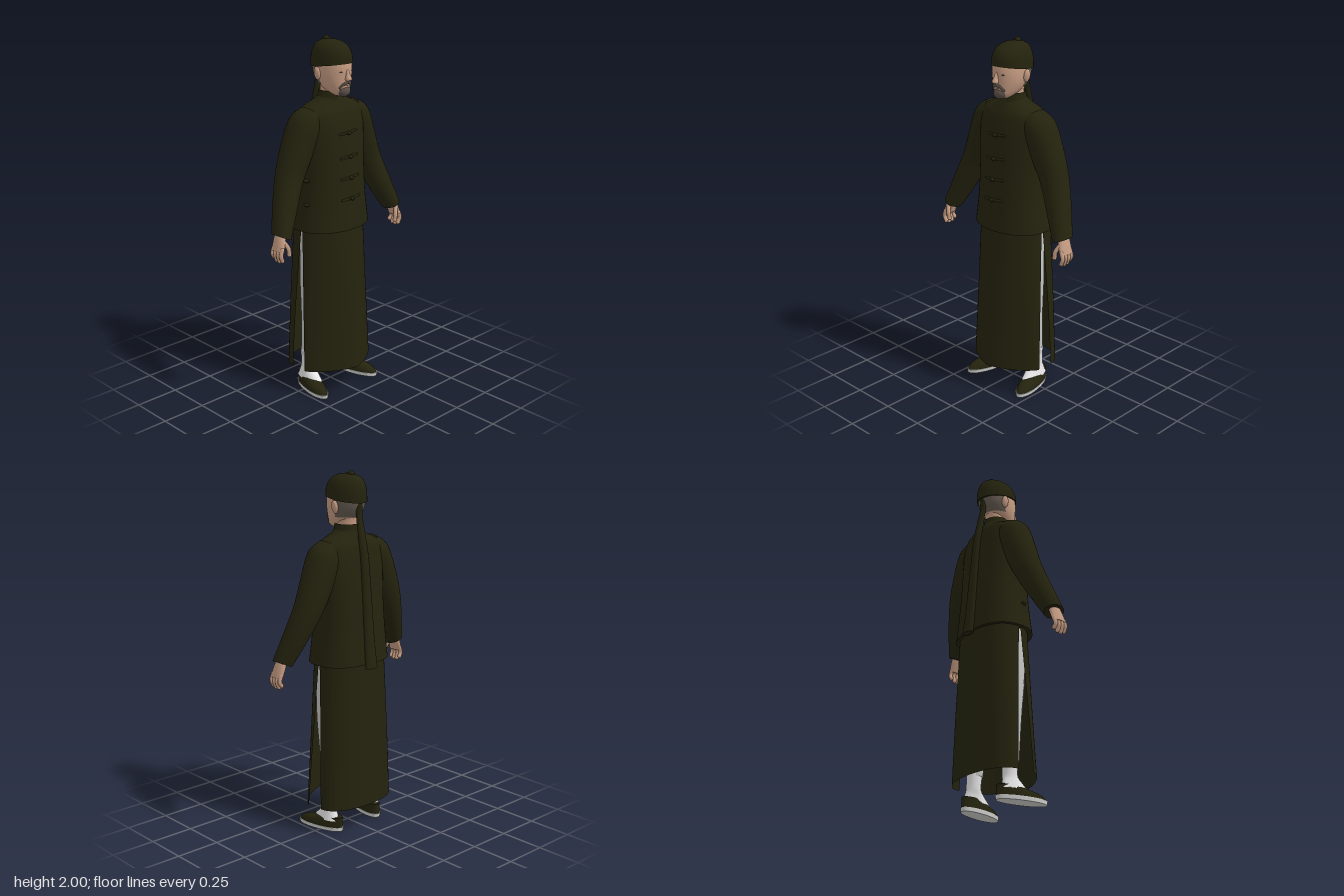
import * as THREE from 'three';

const mat = (name, color, side = THREE.FrontSide) => {
  const m = new THREE.MeshStandardMaterial({ color, side });
  m.name = name;
  return m;
};
const cloth = mat('dark olive cloth', 0x24230e, THREE.DoubleSide);
const skin = mat('skin', 0xc79d83);
const hairGrey = mat('grey hair', 0x655b52, THREE.DoubleSide);
const beardGrey = mat('beard', 0x5a4f48);
const sockWhite = mat('white sock', 0xeeeeee);
const trouserGrey = mat('pale trousers', 0xc4c4c4);
const soleGrey = mat('pale sole', 0xd2d2d0);

const spline = (p0, p1, p2, p3, t) => 0.5 * (2 * p1 + (p2 - p0) * t
  + (2 * p0 - 5 * p1 + 4 * p2 - p3) * t * t + (3 * p1 - p0 - 3 * p2 + p3) * t ** 3);

// Smooth skin over rings listed from top to bottom.
// Ring: [x, y, z, half width, half depth, tilt about z, front roundness, back roundness]
function loft(rings, { t0 = 0, t1 = Math.PI * 2, seg = 36, steps = 4 } = {}) {
  const full = rings.map(r => [...r, ...[0, 2, 2].slice(r.length - 5)]);
  const rows = [];
  for (let i = 0; i < full.length - 1; i++) {
    for (let k = 0; k < steps; k++) {
      const at = j => full[Math.min(Math.max(j, 0), full.length - 1)];
      rows.push(full[i].map((_, c) => spline(at(i - 1)[c], at(i)[c], at(i + 1)[c], at(i + 2)[c], k / steps)));
    }
  }
  rows.push(full[full.length - 1]);
  const closed = t1 - t0 > 6.28, n = closed ? seg : seg + 1;
  const pos = [], idx = [];
  const addRing = ([x, y, z, a, b, tilt, pf, pb]) => {
    for (let j = 0; j < n; j++) {
      const t = t0 + (t1 - t0) * j / seg, c = Math.cos(t), s = Math.sin(t);
      const e = 2 / (s >= 0 ? pf : pb);
      const u = a * Math.sign(c) * Math.abs(c) ** e, w = b * Math.sign(s) * Math.abs(s) ** e;
      pos.push(x + u * Math.cos(tilt), y + u * Math.sin(tilt), z + w);
    }
  };
  rows.forEach(addRing);
  for (let i = 0; i < rows.length - 1; i++) {
    for (let j = 0; j < seg; j++) {
      const a = i * n + j, b = i * n + (j + 1) % n;
      idx.push(a, b, a + n, b, b + n, a + n);
    }
  }
  if (closed) {
    for (const [row, top] of [[rows[0], true], [rows[rows.length - 1], false]]) {
      const start = pos.length / 3;
      addRing(row);
      pos.push(row[0], row[1], row[2]);
      for (let j = 0; j < n; j++) {
        const a = start + j, b = start + (j + 1) % n;
        idx.push(start + n, top ? b : a, top ? a : b);
      }
    }
  }
  const g = new THREE.BufferGeometry();
  g.setAttribute('position', new THREE.Float32BufferAttribute(pos, 3));
  g.setIndex(idx);
  g.computeVertexNormals();
  return g;
}

export function createModel() {
  const model = new THREE.Group();
  model.name = 'robedMan';
  const add = (name, geometry, material, parent = model) => {
    const m = new THREE.Mesh(geometry, material);
    m.name = name;
    parent.add(m);
    return m;
  };
  const ball = (name, material, p, r) => {
    const m = add(name, new THREE.SphereGeometry(1, 20, 14), material);
    m.position.set(...p);
    m.scale.set(...r);
    return m;
  };
  const tube = (name, material, pts, r) => {
    const path = new THREE.CatmullRomCurve3(pts.map(p => new THREE.Vector3(...p)));
    add(name, new THREE.TubeGeometry(path, 10, r, 8), material);
    for (const p of [pts[0], pts[pts.length - 1]]) ball(name + 'End', material, p, [r, r, r]);
  };

  // Jacket, flat across the back
  add('jacket', loft([
    [0, 1.69, 0.003, 0.068, 0.062], [0, 1.665, 0, 0.1, 0.08], [0, 1.635, -0.002, 0.165, 0.1, 0, 2, 2.3],
    [0, 1.6, 0, 0.2, 0.115, 0, 2.1, 2.6], [0, 1.5, 0.003, 0.207, 0.135, 0, 2.1, 2.8],
    [0, 1.3, 0.002, 0.202, 0.153, 0, 2.1, 2.8], [0, 1.13, 0.001, 0.21, 0.164, 0, 2.1, 2.8],
    [0, 0.965, 0, 0.232, 0.178, 0, 2.1, 2.6],
  ], { seg: 48 }), cloth);

  // Stand-up collar, open at the throat
  add('collar', loft([[0, 1.718, 0.004, 0.066, 0.066], [0, 1.69, 0.004, 0.072, 0.07], [0, 1.655, 0.002, 0.082, 0.078]],
    { t0: Math.PI / 2 + 0.2, t1: Math.PI * 2.5 - 0.2 }), cloth);

  // Knotted fastenings down the front
  for (const [y, z] of [[1.5, 0.138], [1.37, 0.15], [1.255, 0.158], [1.14, 0.166]]) {
    tube('frogFastening', cloth, [[-0.06, y - 0.004, z - 0.008], [0, y, z], [0.06, y + 0.004, z - 0.008]], 0.007);
    ball('frogKnot', cloth, [0, y, z + 0.006], [0.013, 0.011, 0.012]);
  }
  for (const y of [1.25, 1.115]) ball('sideKnot', cloth, [-0.207, y, 0.03], [0.013, 0.009, 0.02]);

  // Robe skirt: front and back panels, slit at both sides
  add('skirtFront', loft([[0, 1.0, 0, 0.212, 0.16, 0, 1.8], [0, 0.9, 0.006, 0.216, 0.163, 0, 1.7],
    [0, 0.5, 0.03, 0.235, 0.165, 0, 1.5], [0, 0.145, 0.05, 0.25, 0.166, 0, 1.4]], { t0: 0, t1: Math.PI }), cloth);
  add('skirtBack', loft([[0, 1.0, -0.002, 0.212, 0.158, 0, 2, 2.5], [0, 0.9, -0.012, 0.216, 0.153, 0, 2, 2.4],
    [0, 0.5, -0.035, 0.235, 0.138, 0, 2, 2.3], [0, 0.145, -0.048, 0.248, 0.134, 0, 2, 2.2]],
  { t0: Math.PI, t1: Math.PI * 2 }), cloth);

  for (const s of [1, -1]) {
    // Sleeve
    add('sleeve', loft([
      [s * 0.135, 1.6, -0.005, 0.06, 0.075, s * 0.75], [s * 0.18, 1.54, -0.008, 0.092, 0.096, s * 0.6],
      [s * 0.235, 1.42, -0.012, 0.09, 0.09, s * 0.48], [s * 0.295, 1.28, -0.008, 0.08, 0.078, s * 0.42],
      [s * 0.36, 1.13, 0.025, 0.066, 0.07, s * 0.42], [s * 0.419, 0.995, 0.062, 0.05, 0.06, s * 0.42],
    ]), cloth);

    // Hand with four fingers and a thumb
    add('palm', loft([[s * 0.42, 1.02, 0.06, 0.024, 0.033, s * 0.3], [s * 0.435, 0.975, 0.065, 0.022, 0.042, s * 0.25],
      [s * 0.452, 0.925, 0.07, 0.017, 0.046, s * 0.15]], { seg: 20 }), skin);
    for (let i = 0; i < 4; i++) {
      const z = 0.036 + i * 0.0225, tip = [0.885, 0.872, 0.87, 0.877][i];
      tube('finger', skin, [[s * 0.449, 0.94, z], [s * 0.459, 0.905, z], [s * 0.448, tip, z - 0.002]], 0.0115);
    }
    tube('thumb', skin, [[s * 0.43, 0.975, 0.095], [s * 0.414, 0.94, 0.112], [s * 0.408, 0.905, 0.112]], 0.012);

    // Leg and sock
    add('trouserLeg', loft([[s * 0.11, 0.98, 0, 0.085, 0.09], [s * 0.125, 0.7, 0, 0.085, 0.075],
      [s * 0.14, 0.45, -0.008, 0.062, 0.052], [s * 0.15, 0.2, -0.02, 0.046, 0.042]], { seg: 24 }), trouserGrey);
    add('sock', loft([[s * 0.15, 0.24, -0.02, 0.048, 0.044], [s * 0.151, 0.14, -0.026, 0.039, 0.04],
      [s * 0.157, 0.1, -0.015, 0.038, 0.06], [s * 0.163, 0.06, 0.0, 0.042, 0.09]], { seg: 24 }), sockWhite);

    // Slip-on shoe, toe turned out
    const shoe = new THREE.Group();
    shoe.name = 'shoe';
    shoe.position.x = s * 0.164;
    shoe.rotation.y = s * 0.23;
    model.add(shoe);
    add('shoeUpper', loft([[0, 0.08, -0.05, 0.036, 0.056], [0, 0.066, -0.012, 0.042, 0.094],
      [0, 0.045, 0.022, 0.049, 0.129], [0, 0.02, 0.035, 0.052, 0.144]]), cloth, shoe);
    add('sole', loft([[0, 0.022, 0.035, 0.053, 0.147, 0, 2.1, 2.2], [0, 0, 0.035, 0.05, 0.144, 0, 2.1, 2.2]],
      { steps: 1 }), soleGrey, shoe);

    // Ear and eye
    ball('ear', skin, [s * 0.094, 1.812, -0.002], [0.014, 0.036, 0.021]).rotation.z = -s * 0.15;
    ball('eye', beardGrey, [s * 0.035, 1.826, 0.121], [0.014, 0.004, 0.004]);
    // Moustache
    tube('moustache', beardGrey, [[s * 0.004, 1.768, 0.132], [s * 0.022, 1.762, 0.127], [s * 0.037, 1.742, 0.112]], 0.007);
  }

  // Head and neck
  add('neck', loft([[0, 1.79, -0.005, 0.06, 0.062], [0, 1.72, 0, 0.055, 0.055], [0, 1.66, 0.004, 0.062, 0.064]]), skin);
  const skull = [[0, 1.91, 0.01, 0.086, 0.112], [0, 1.85, 0.015, 0.09, 0.118], [0, 1.8, 0.02, 0.089, 0.11],
    [0, 1.755, 0.032, 0.077, 0.095], [0, 1.715, 0.057, 0.053, 0.068], [0, 1.695, 0.075, 0.028, 0.04]];
  add('head', loft(skull), skin);
  add('nose', loft([[0, 1.838, 0.125, 0.009, 0.01], [0, 1.81, 0.132, 0.012, 0.015],
    [0, 1.788, 0.138, 0.018, 0.02], [0, 1.778, 0.132, 0.013, 0.014]], { seg: 14 }), skin);
  ball('mouth', skin, [0, 1.754, 0.122], [0.02, 0.006, 0.008]);
  ball('beard', beardGrey, [0, 1.721, 0.102], [0.04, 0.032, 0.034]);

  // Cropped hair behind the ears
  add('backHair', loft(skull.slice(0, 4).map(([x, y, z, a, b]) => [x, y, z, a + 0.004, b + 0.004]),
    { t0: Math.PI + 0.18, t1: Math.PI * 2 - 0.18 }), hairGrey);

  // Round cap, lower at the back, with a knob on top
  const cap = loft([[0, 1.984, 0, 0.012, 0.016], [0, 1.976, 0.002, 0.046, 0.062], [0, 1.952, 0.005, 0.076, 0.102],
    [0, 1.91, 0.008, 0.094, 0.122], [0, 1.858, 0.01, 0.1, 0.126]]);
  const p = cap.attributes.position;
  for (let i = 0; i < p.count; i++) {
    const low = THREE.MathUtils.clamp((1.96 - p.getY(i)) / 0.1, 0, 1);
    p.setY(i, p.getY(i) + low * (p.getZ(i) - 0.06) * 0.14);
  }
  cap.computeVertexNormals();
  add('cap', cap, cloth);
  ball('capKnob', cloth, [0, 1.983, -0.03], [0.018, 0.017, 0.018]);

  // Long queue hanging down the back
  add('queue', loft([[0, 1.86, -0.09, 0.022, 0.02], [0, 1.77, -0.092, 0.02, 0.014], [0, 1.68, -0.108, 0.022, 0.017],
    [0, 1.55, -0.133, 0.026, 0.018], [0, 1.34, -0.154, 0.03, 0.018], [0, 1.1, -0.175, 0.035, 0.018],
    [0, 0.945, -0.192, 0.041, 0.02]], { seg: 20 }), cloth);

  return model;
}
